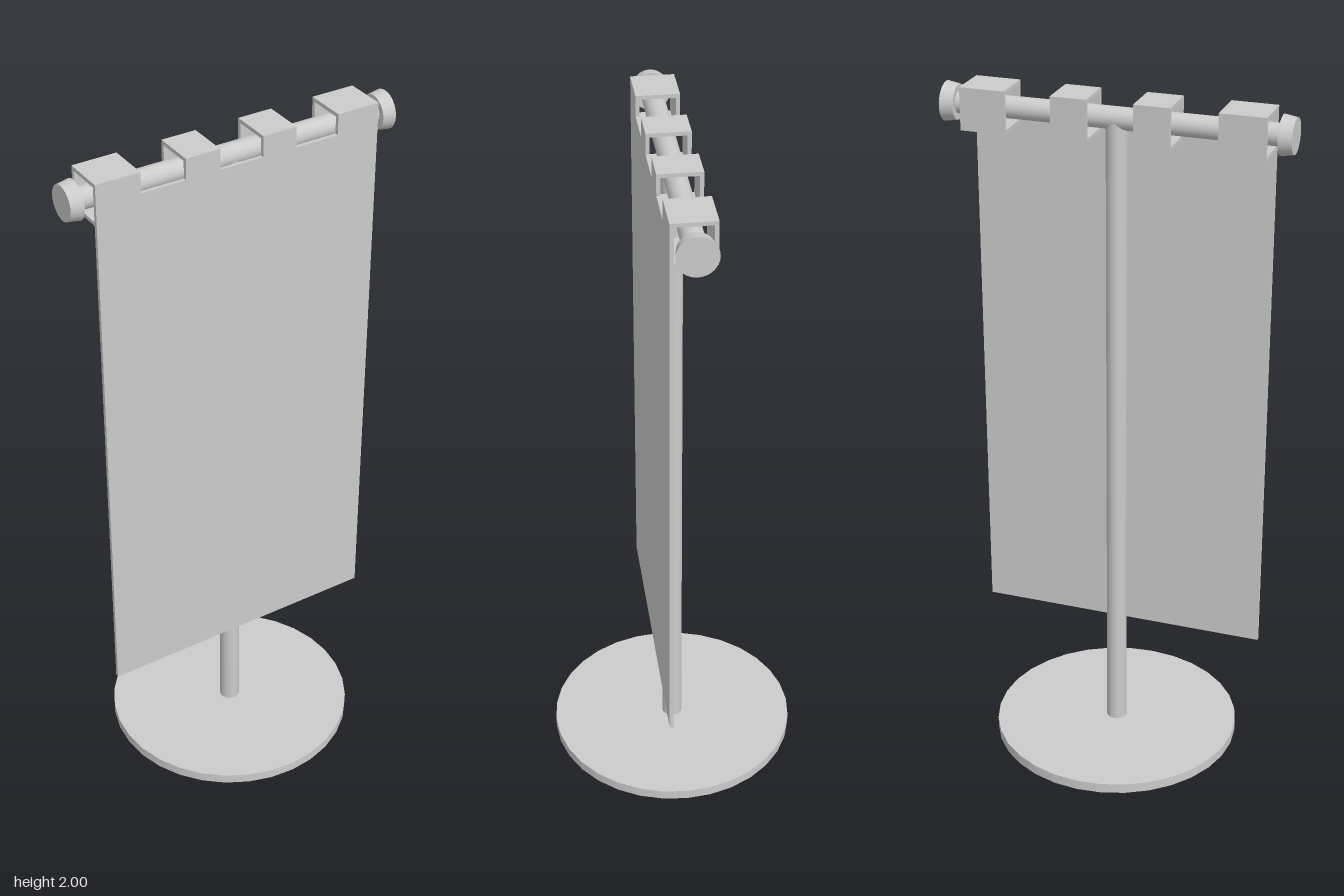
import * as THREE from 'three';

export function createModel() {
  const group = new THREE.Group();
  const smooth = new THREE.MeshStandardMaterial({ color: 0xcccccc });
  const flat = new THREE.MeshStandardMaterial({ color: 0xcccccc, flatShading: true });
  const barY = 1.94, half = 0.061, cloth = 0.011;

  function add(name, geometry, material, x, y, z) {
    const mesh = new THREE.Mesh(geometry, material);
    mesh.name = name;
    mesh.position.set(x, y, z);
    group.add(mesh);
    return mesh;
  }

  // Stand: round foot, upright post and crossbar
  add('base', new THREE.CylinderGeometry(0.367, 0.367, 0.03, 32), smooth, 0, 0.015, 0);
  add('post', new THREE.CylinderGeometry(0.03, 0.03, barY - 0.02, 32), smooth, 0, 0.02 + (barY - 0.02) / 2, 0);
  add('crossbar', new THREE.CylinderGeometry(0.031, 0.031, 0.92, 32), smooth, 0, barY, 0).rotation.z = Math.PI / 2;

  // Tapered end knobs
  for (const side of [-1, 1]) {
    const knob = add(side > 0 ? 'leftKnob' : 'rightKnob',
      new THREE.CylinderGeometry(0.055, 0.049, 0.037, 32), smooth, side * 0.4725, barY, 0);
    knob.rotation.z = -Math.PI / 2;
  }

  // Hanging cloth panel
  const bottom = 0.355;
  add('banner', new THREE.BoxGeometry(0.854, barY - bottom, cloth), flat,
    0, (barY + bottom) / 2, half - cloth / 2);

  // Square cloth loops around the crossbar
  const square = (path, zHalf, yHalf) => path
    .moveTo(-zHalf, -yHalf).lineTo(zHalf, -yHalf).lineTo(zHalf, yHalf).lineTo(-zHalf, yHalf).closePath();
  for (const [center, width] of [[0.116, 0.102], [0.3625, 0.129]]) {
    const ring = square(new THREE.Shape(), half, 0.06);
    ring.holes.push(square(new THREE.Path(), half - cloth, 0.06 - cloth));
    const geometry = new THREE.ExtrudeGeometry(ring, { depth: width, bevelEnabled: false });
    geometry.translate(0, 0, -width / 2).rotateY(Math.PI / 2);
    for (const side of [-1, 1]) add('hangingLoop', geometry, flat, side * center, barY, 0);
  }

  return group;
}
